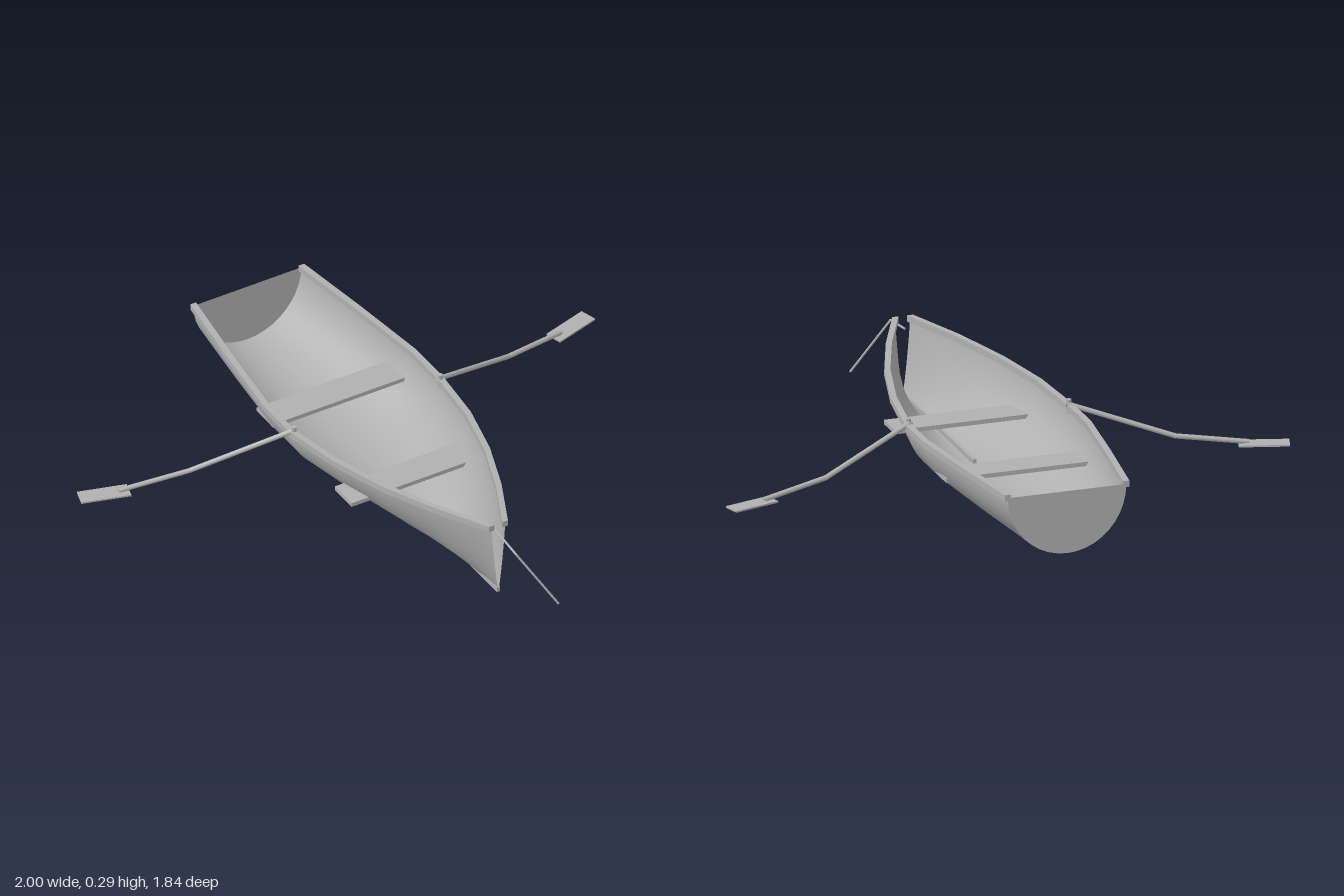
import * as THREE from 'three';

const grey = new THREE.MeshStandardMaterial({ color: 0xb0b0b0, side: THREE.DoubleSide });
grey.name = 'plain grey';

// Stations from stern to bow: z, half beam, sheer height, bottom height, roundness
const STATIONS = [
  [-0.92, 0.21, 0.22, 0, 2],
  [-0.62, 0.252, 0.22, 0, 2],
  [-0.32, 0.288, 0.22, 0, 2],
  [-0.14, 0.288, 0.22, 0, 2],
  [0.09, 0.257, 0.236, 0, 1.75],
  [0.31, 0.2, 0.25, 0.002, 1.6],
  [0.52, 0.12, 0.265, 0.005, 1.45],
  [0.72, 0.026, 0.278, 0.01, 1.2],
];
const STEPS = 20;

function add(group, name, geometry) {
  const mesh = new THREE.Mesh(geometry, grey);
  mesh.name = name;
  group.add(mesh);
  return mesh;
}

// Rounded cross-section from the right gunwale, under the keel, to the left
function section([z, beam, top, bottom, p]) {
  return Array.from({ length: STEPS + 1 }, (_, i) => {
    const a = Math.PI * (i / STEPS);
    const c = Math.cos(a);
    return new THREE.Vector3(
      -Math.sign(c) * beam * Math.abs(c) ** (2 / p),
      top - (top - bottom) * Math.abs(Math.sin(a)) ** (2 / p), z);
  });
}

// Skin between equal rings of points
function loft(rings) {
  const n = rings[0].length, index = [];
  for (let r = 0; r < rings.length - 1; r++) {
    for (let i = 0; i < n - 1; i++) {
      const a = r * n + i, b = a + n;
      index.push(a, a + 1, b, b, a + 1, b + 1);
    }
  }
  const g = new THREE.BufferGeometry().setFromPoints(rings.flat());
  g.setIndex(index);
  g.computeVertexNormals();
  return g;
}

// Square rail following the sheer line
function railGeometry(side) {
  const s = 0.011;
  const rings = STATIONS.map(([z, beam, top]) =>
    [[-s, -s], [s, -s], [s, s], [-s, s], [-s, -s]].map(([dx, dy]) =>
      new THREE.Vector3(side * beam + dx, top + dy, z)));
  // collapsed rings close both ends
  const cap = (ring) => ring.map(() => ring[0].clone().add(ring[2]).multiplyScalar(0.5));
  const g = loft([cap(rings[0]), ...rings, cap(rings.at(-1))]).toNonIndexed();
  g.computeVertexNormals();
  return g;
}

// Straight round pieces joined end to end
function rod(group, name, points, radius) {
  const pts = points.map((p) => new THREE.Vector3(...p));
  for (let i = 0; i < pts.length - 1; i++) {
    const dir = pts[i + 1].clone().sub(pts[i]);
    const m = add(group, name, new THREE.CylinderGeometry(radius, radius, dir.length(), 8));
    m.position.copy(pts[i]).addScaledVector(dir, 0.5);
    m.quaternion.setFromUnitVectors(new THREE.Vector3(0, 1, 0), dir.normalize());
  }
}

export function createModel() {
  const boat = new THREE.Group();
  boat.name = 'rowing boat';

  // Hull, open at the bow slit
  add(boat, 'hull', loft(STATIONS.map(section)));

  // Flat transom closing the stern
  const outline = section(STATIONS[0]).map((v) => new THREE.Vector2(v.x, v.y));
  add(boat, 'transom', new THREE.ShapeGeometry(new THREE.Shape(outline)))
    .position.z = STATIONS[0][0];

  // Forward keel strip
  add(boat, 'keel', new THREE.BoxGeometry(0.012, 0.018, 0.72)).position.set(0, 0.014, 0.36);

  // Seats run through the hull sides
  for (const [name, z] of [['foreSeat', 0.135], ['aftSeat', -0.375]]) {
    add(boat, name, new THREE.BoxGeometry(0.51, 0.015, 0.11)).position.set(0, 0.122, z);
  }

  for (const side of [1, -1]) {
    const tag = side > 0 ? 'left' : 'right';
    add(boat, tag + 'Rail', railGeometry(side));

    // Oar with rowlock pin, bent shaft and flat blade
    const oar = new THREE.Group();
    oar.name = tag + 'Oar';
    rod(oar, 'rowlock', [[side * 0.284, 0.2, -0.138], [side * 0.284, 0.249, -0.138]], 0.009);
    rod(oar, 'oarShaft', [
      [side * 0.275, 0.234, -0.138], [side * 0.62, 0.118, -0.257], [side * 0.86, 0.089, -0.316],
    ], 0.009);
    const blade = add(oar, 'oarBlade', new THREE.BoxGeometry(0.172, 0.006, 0.062));
    blade.position.set(side * 0.9075, 0.083, -0.331);
    blade.rotation.y = side * 0.285;
    boat.add(oar);
  }

  // Mooring rope hanging from the bow
  rod(boat, 'mooringRope', [[0, 0.25, 0.7], [0, 0.234, 0.84], [0.116, 0.038, 0.917]], 0.004);

  return boat;
}
